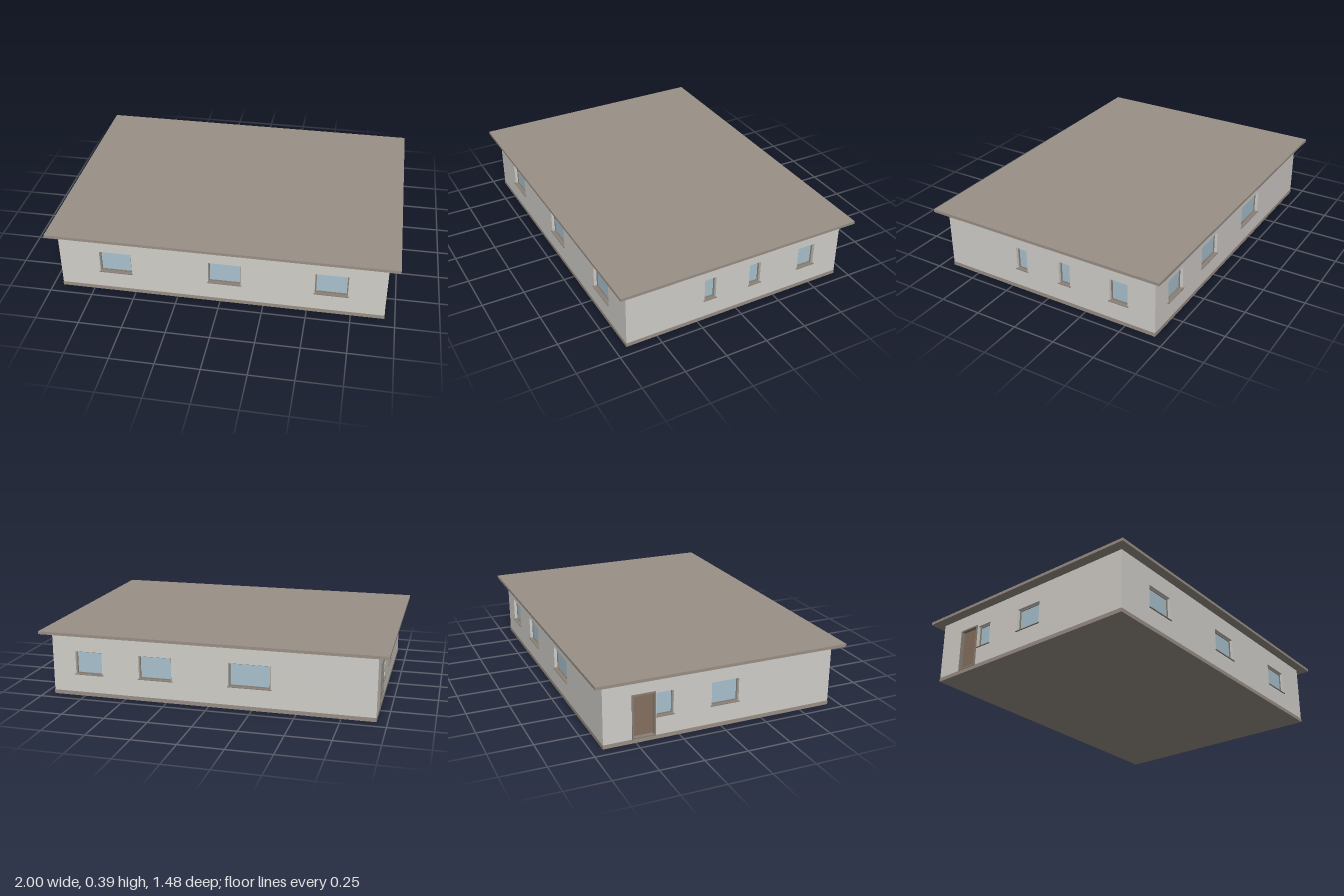
import * as THREE from 'three';

const mat = (name, color) => {
  const m = new THREE.MeshStandardMaterial({ color });
  m.name = name;
  return m;
};

export function createModel() {
  const house = new THREE.Group();
  house.name = 'house';
  const wallMat = mat('render wall', 0xd2cfca);
  const roofMat = mat('roof brown grey', 0x9a9086);
  const trimMat = mat('frame trim', 0x8a8177);
  const glassMat = mat('window glass', 0xa9c2ce);
  const doorMat = mat('door brown', 0x86705f);

  const HX = 0.94, HZ = 0.684, T = 0.03;      // wall half sizes and thickness
  const BASE = 0.023, TOP = 0.37;             // plinth top and wall top
  const SILL = 0.13, HEAD = 0.267;            // window bottom and top

  const add = (parent, name, geometry, material, x = 0, y = 0, z = 0) => {
    const mesh = new THREE.Mesh(geometry, material);
    mesh.name = name;
    mesh.position.set(x, y, z);
    parent.add(mesh);
    return mesh;
  };
  const rect = (Type, x0, x1, y0, y1) => new Type().setFromPoints([
    new THREE.Vector2(x0, y0), new THREE.Vector2(x1, y0),
    new THREE.Vector2(x1, y1), new THREE.Vector2(x0, y1), new THREE.Vector2(x0, y0),
  ]);
  const extrude = (shape, depth) => new THREE.ExtrudeGeometry(shape, { depth, bevelEnabled: false });

  // Rectangular frame between two depths, wall face at z = 0
  const frame = (parent, name, x0, x1, y0, y1, width, back, front) => {
    const shape = rect(THREE.Shape, x0, x1, y0, y1);
    shape.holes.push(rect(THREE.Path, x0 + width, x1 - width, y0 + width, y1 - width));
    add(parent, name, extrude(shape, front - back), trimMat, 0, 0, back);
  };

  const windowUnit = (parent, x0, x1) => {
    const g = new THREE.Group();
    g.name = 'window';
    const cx = (x0 + x1) / 2, w = x1 - x0;
    add(g, 'glass', new THREE.BoxGeometry(w, HEAD - SILL, 0.004), glassMat, cx, (SILL + HEAD) / 2, -0.024);
    frame(g, 'windowFrame', x0, x1, SILL, HEAD, 0.007, -0.028, -0.017);
    add(g, 'windowSill', new THREE.BoxGeometry(w + 0.012, 0.004, 0.007), trimMat, cx, SILL, 0.0035);
    add(g, 'sillBoard', new THREE.BoxGeometry(w, 0.004, 0.022), trimMat, cx, SILL, -0.011);
    parent.add(g);
  };

  const doorUnit = (parent, x0, x1, y1) => {
    const g = new THREE.Group();
    g.name = 'door';
    add(g, 'doorPanel', new THREE.BoxGeometry(x1 - x0, y1 - BASE, 0.008), doorMat,
      (x0 + x1) / 2, (BASE + y1) / 2, -0.02);
    frame(g, 'doorFrame', x0, x1, BASE, y1, 0.009, -0.028, 0.005);
    parent.add(g);
  };

  // Wall with real openings; local x runs along it, local +z points outward
  const wall = (name, half, distance, angle, windows, door) => {
    const g = new THREE.Group();
    g.name = name;
    const shape = rect(THREE.Shape, -half, half, 0.01, TOP + 0.004);
    for (const [x0, x1] of windows) {
      shape.holes.push(rect(THREE.Path, x0, x1, SILL, HEAD));
      windowUnit(g, x0, x1);
    }
    if (door) {
      shape.holes.push(rect(THREE.Path, door[0], door[1], BASE - 0.002, door[2]));
      doorUnit(g, ...door);
    }
    add(g, name + 'Surface', extrude(shape, T), wallMat, 0, 0, -T);
    g.rotation.y = angle;
    g.position.set(Math.sin(angle) * distance, 0, Math.cos(angle) * distance);
    house.add(g);
  };

  wall('frontWall', HX, HZ, 0, [[-0.703, -0.516], [-0.067, 0.12], [0.541, 0.727]]);
  wall('backWall', HX, HZ, Math.PI, [[-0.80, -0.638], [-0.413, -0.218], [0.115, 0.355]]);
  wall('leftWall', HZ - T, HX, Math.PI / 2, [[-0.207, -0.136], [0.08, 0.152], [0.406, 0.516]]);
  wall('rightWall', HZ - T, HX, -Math.PI / 2, [[-0.382, -0.284], [-0.06, 0.104]], [-0.522, -0.388, 0.279]);

  // Plinth and floor slab
  add(house, 'plinth', new THREE.BoxGeometry(2 * HX + 0.003, BASE, 2 * HZ + 0.003), roofMat, 0, BASE / 2, 0);

  // Flat overhanging roof
  add(house, 'roof', new THREE.BoxGeometry(2, 0.017, 1.478), roofMat, 0, TOP + 0.0085, 0);
  return house;
}
